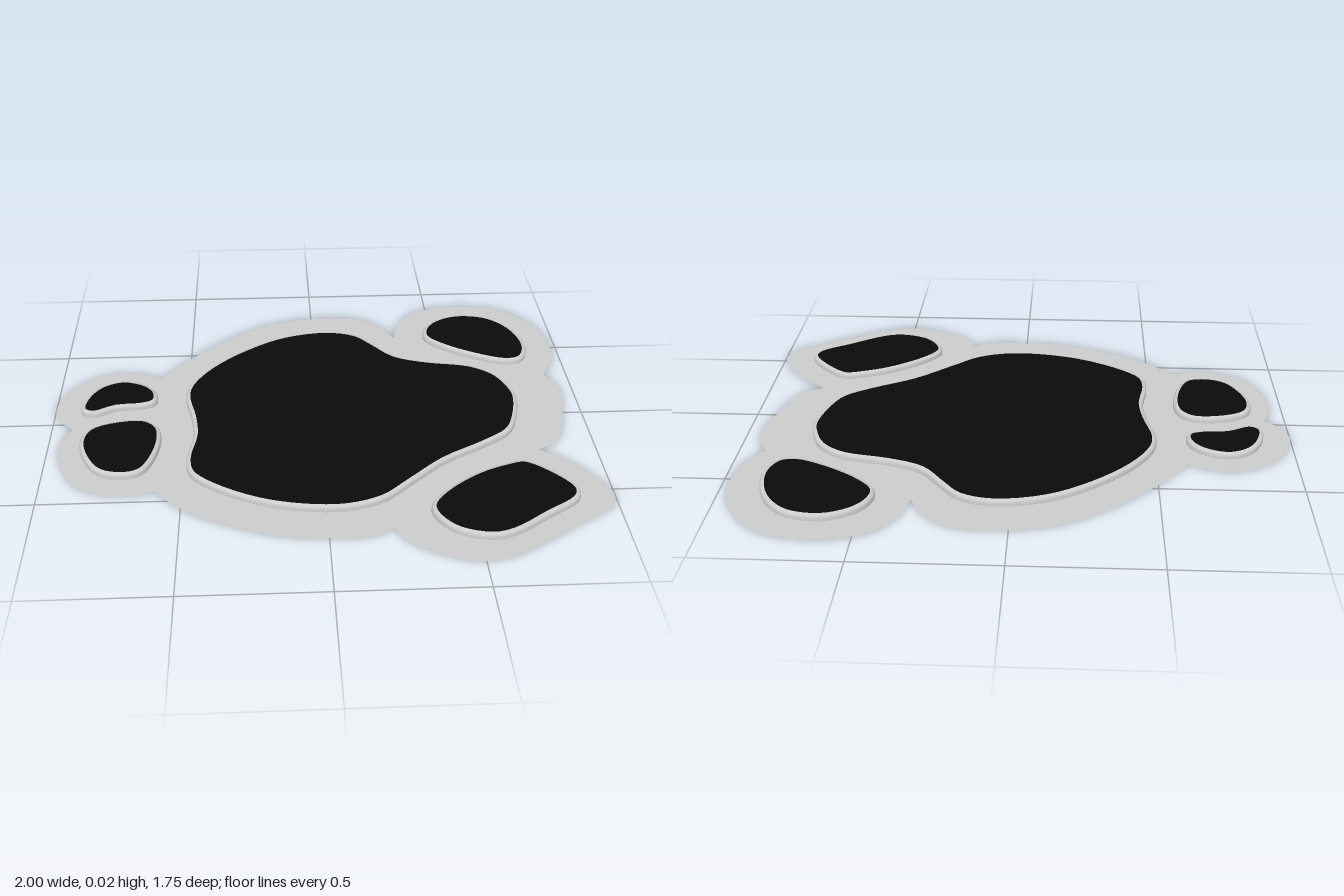
import * as THREE from 'three';

const grey = new THREE.MeshStandardMaterial({ color: 0xcccccc, side: THREE.DoubleSide });
const black = new THREE.MeshStandardMaterial({ color: 0x0a0a0a, side: THREE.DoubleSide });

// Pad outlines as x, z pairs, clockwise seen from above
const pads = {
  mainPad: [0.06, -0.645, 0.18, -0.61, 0.25, -0.53, 0.33, -0.43, 0.45, -0.38, 0.62, -0.34, 0.71, -0.27, 0.755, -0.17,
    0.767, -0.1, 0.745, 0.03, 0.7, 0.14, 0.6, 0.22, 0.44, 0.32, 0.3, 0.45, 0.2, 0.54, 0.07, 0.585, -0.08, 0.58,
    -0.24, 0.535, -0.4, 0.44, -0.475, 0.36, -0.49, 0.27, -0.47, 0.12, -0.48, 0, -0.508, -0.15, -0.495, -0.24,
    -0.42, -0.37, -0.28, -0.51, -0.12, -0.61],
  backLeftToe: [0.62, -0.765, 0.74, -0.745, 0.82, -0.67, 0.865, -0.56, 0.87, -0.46, 0.835, -0.385, 0.77, -0.37,
    0.65, -0.42, 0.52, -0.51, 0.465, -0.58, 0.47, -0.65, 0.52, -0.72],
  frontLeftToe: [0.72, 0.335, 0.805, 0.4, 0.88, 0.51, 0.865, 0.57, 0.75, 0.655, 0.62, 0.745, 0.54, 0.765,
    0.43, 0.73, 0.37, 0.66, 0.355, 0.59, 0.41, 0.505, 0.54, 0.4, 0.65, 0.35],
  backRightToe: [-0.76, -0.28, -0.665, -0.245, -0.62, -0.18, -0.625, -0.12, -0.675, -0.095, -0.77, -0.085,
    -0.855, -0.045, -0.9, -0.07, -0.895, -0.15, -0.845, -0.24],
  frontRightToe: [-0.66, 0.005, -0.605, 0.05, -0.588, 0.13, -0.61, 0.27, -0.65, 0.345, -0.715, 0.365,
    -0.8, 0.34, -0.86, 0.25, -0.885, 0.14, -0.86, 0.06, -0.78, 0.015],
};

// Lobes of the base sheet; each runs from one notch to the next
const lobes = [
  [0.34, -0.61, 0.37, -0.73, 0.46, -0.835, 0.62, -0.877, 0.81, -0.84, 0.93, -0.71, 0.98, -0.55, 0.965, -0.4, 0.91, -0.285],
  [0.91, -0.285, 0.945, -0.21, 0.95, -0.11, 0.915, 0.05, 0.87, 0.19, 0.79, 0.245],
  [0.79, 0.245, 0.87, 0.31, 0.965, 0.44, 1, 0.535, 0.97, 0.605, 0.86, 0.68, 0.7, 0.79, 0.57, 0.86, 0.47, 0.87,
    0.31, 0.8, 0.245, 0.74, 0.22, 0.685],
  [0.22, 0.685, 0.165, 0.72, 0, 0.73, -0.18, 0.705, -0.37, 0.63, -0.5, 0.545, -0.6, 0.44],
  [-0.6, 0.44, -0.66, 0.462, -0.77, 0.455, -0.88, 0.395, -0.945, 0.25, -0.957, 0.13, -0.925, 0.03],
  [-0.925, 0.03, -0.975, -0.02, -1, -0.09, -0.985, -0.19, -0.93, -0.28, -0.85, -0.345, -0.755, -0.368,
    -0.675, -0.353, -0.615, -0.32],
  [-0.615, -0.32, -0.5, -0.475, -0.34, -0.635, -0.18, -0.745, -0.02, -0.79, 0.11, -0.795, 0.22, -0.77, 0.3, -0.69, 0.34, -0.61],
];

// Smooth curve through x, z pairs, in shape space (x, -z)
function smooth(flat, closed) {
  const pts = [];
  for (let i = 0; i < flat.length; i += 2) pts.push(new THREE.Vector3(flat[i], -flat[i + 1], 0));
  const curve = new THREE.CatmullRomCurve3(pts, closed, 'centripetal');
  const out = curve.getPoints(pts.length * 4).map((p) => new THREE.Vector2(p.x, p.y));
  out.pop(); // the end repeats the next start
  return out;
}

// Moves a clockwise loop inwards
function inset(loop, d) {
  const n = loop.length;
  return loop.map((p, i) => {
    const t = loop[(i + 1) % n].clone().sub(loop[(i + n - 1) % n]).normalize();
    return new THREE.Vector2(p.x + t.y * d, p.y - t.x * d);
  });
}

function flat(shape, y) {
  return new THREE.ShapeGeometry(shape).rotateX(-Math.PI / 2).translate(0, y, 0);
}

// Side wall and rounded shoulder, lofted through [inset, height] rings
function rim(loop, profile) {
  const n = loop.length, pos = [], index = [];
  profile.forEach(([d, y]) => inset(loop, d).forEach((p) => pos.push(p.x, y, -p.y)));
  for (let r = 0; r < profile.length - 1; r++) {
    for (let i = 0; i < n; i++) {
      const a = r * n + i, b = r * n + (i + 1) % n;
      index.push(a, a + n, b, b, a + n, b + n);
    }
  }
  const g = new THREE.BufferGeometry();
  g.setAttribute('position', new THREE.Float32BufferAttribute(pos, 3));
  g.setIndex(index);
  g.computeVertexNormals();
  return g;
}

function add(parent, name, geometry, material) {
  const mesh = new THREE.Mesh(geometry, material);
  mesh.name = name;
  parent.add(mesh);
}

export function createModel() {
  const model = new THREE.Group();
  model.name = 'pawPrint';
  const sheet = new THREE.Shape(lobes.flatMap((l) => smooth(l, false)));

  // Raised pads: grey rim with a black top
  for (const [name, points] of Object.entries(pads)) {
    const loop = smooth(points, true);
    const pad = new THREE.Group();
    pad.name = name;
    add(pad, 'rim', rim(loop, [[0, 0], [0, 0.013], [0.005, 0.019], [0.016, 0.022]]), grey);
    add(pad, 'top', flat(new THREE.Shape(inset(loop, 0.016)), 0.022), black);
    model.add(pad);
    sheet.holes.push(new THREE.Path(loop));
  }

  // Thin base sheet with an opening under each pad
  add(model, 'baseSheet', flat(sheet, 0), grey);
  return model;
}
